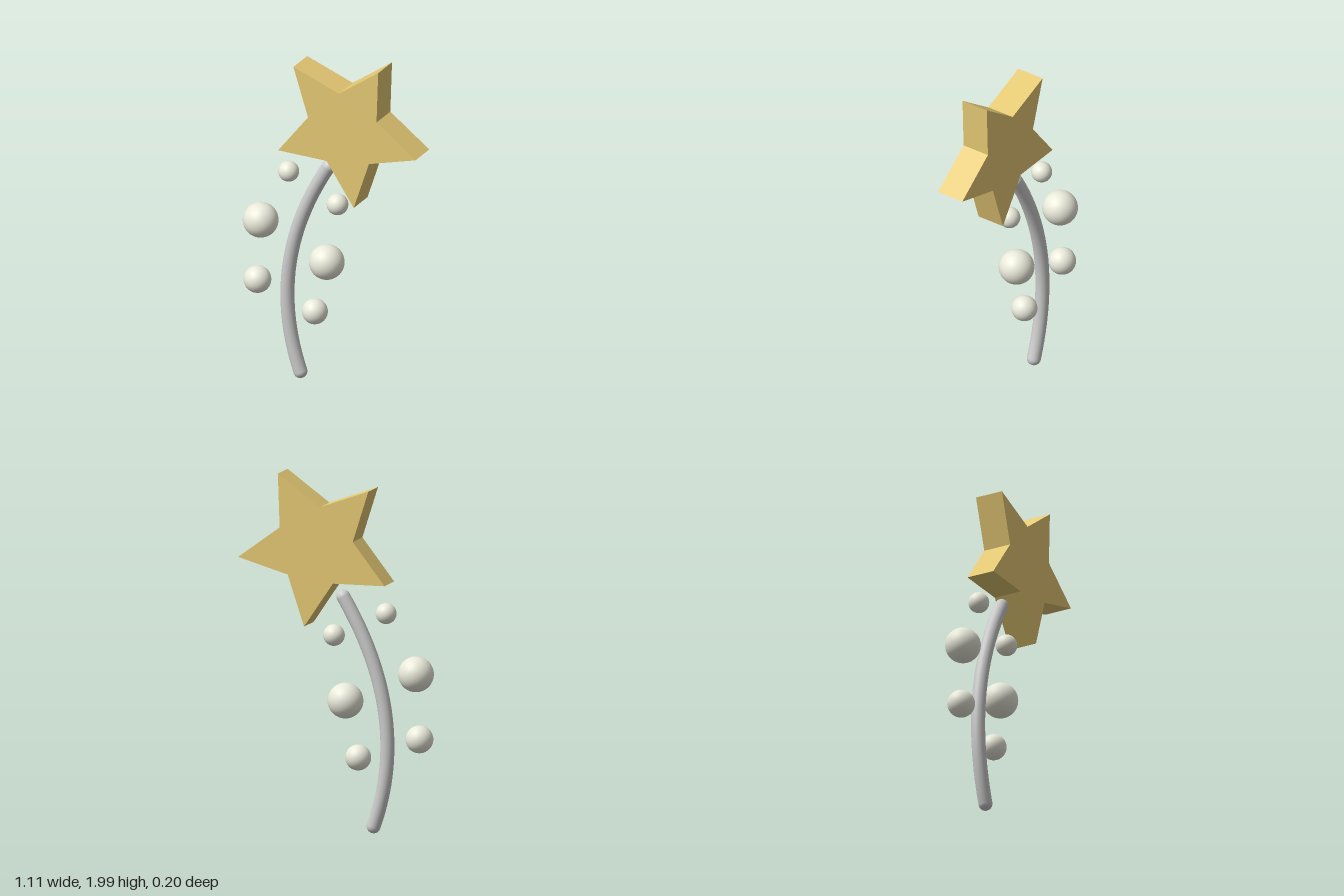
import * as THREE from 'three';

export function createModel() {
  const model = new THREE.Group();
  model.name = 'starWand';
  const gold = new THREE.MeshStandardMaterial({ color: 0xe5c974 });
  const pearl = new THREE.MeshStandardMaterial({ color: 0xeaeadb });
  const grey = new THREE.MeshStandardMaterial({ color: 0xcccccc });

  const add = (parent, name, geometry, material, x = 0, y = 0, z = 0) => {
    const mesh = new THREE.Mesh(geometry, material);
    mesh.name = name;
    mesh.position.set(x, y, z);
    parent.add(mesh);
    return mesh;
  };

  // Five-pointed star, tilted in its own plane
  const outline = [];
  for (let i = 0; i < 10; i++) {
    const r = i % 2 ? 0.226 : 0.453;
    const a = THREE.MathUtils.degToRad(-10.2 + i * 36);
    outline.push(new THREE.Vector2(r * Math.cos(a), r * Math.sin(a)));
  }
  const starGeometry = new THREE.ExtrudeGeometry(new THREE.Shape(outline), { depth: 0.165, bevelEnabled: false });
  add(model, 'star', starGeometry, gold, 0.109, 1.601, -0.065);

  // Curved handle with rounded ends
  const handle = new THREE.Group();
  handle.name = 'handle';
  model.add(handle);
  const radius = 0.039;
  const path = new THREE.QuadraticBezierCurve3(
    new THREE.Vector3(-0.213, 0.046, 0),
    new THREE.Vector3(-0.437, 0.67, 0),
    new THREE.Vector3(-0.037, 1.32, 0)
  );
  add(handle, 'handleRod', new THREE.TubeGeometry(path, 48, radius, 24), grey);
  const capGeometry = new THREE.SphereGeometry(radius, 24, 16);
  for (const [name, p] of [['handleBottomCap', path.v0], ['handleTopCap', path.v2]]) {
    add(handle, name, capGeometry, grey, p.x, p.y, p.z);
  }

  // Pearls floating on both sides of the handle: x, y, radius
  const pearls = new THREE.Group();
  pearls.name = 'pearls';
  model.add(pearls);
  [
    [-0.286, 1.24, 0.058], [0.018, 1.103, 0.06],
    [-0.46, 0.91, 0.099], [-0.049, 0.74, 0.099],
    [-0.48, 0.547, 0.077], [-0.123, 0.426, 0.072],
  ].forEach(([x, y, r], i) => add(pearls, `pearl${i + 1}`, new THREE.SphereGeometry(r, 40, 28), pearl, x, y, 0));

  return model;
}
